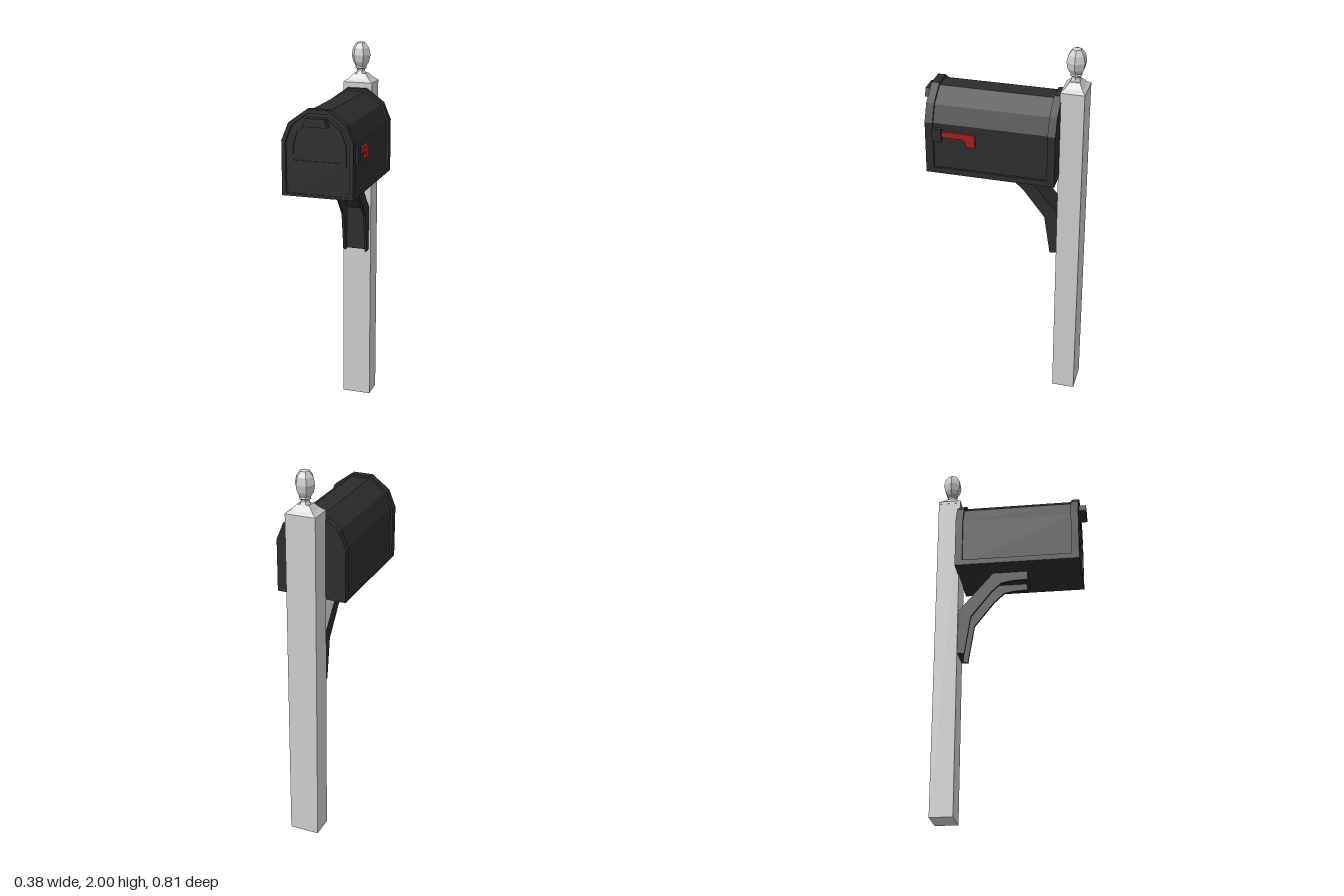
import * as THREE from 'three';

const CX = -0.006; // shared centre line of post and box
const POST_Z = -0.345;

export function createModel() {
  const mat = (name, color) => {
    const m = new THREE.MeshStandardMaterial({ color, flatShading: true });
    m.name = name;
    return m;
  };
  const black = mat('black metal', 0x2c2c2c);
  const grey = mat('pale grey post', 0xcdcdcd);
  const red = mat('flag red', 0x9e2020);

  const model = new THREE.Group();
  model.name = 'mailbox';

  const add = (name, geometry, material, x = 0, y = 0, z = 0) => {
    const mesh = new THREE.Mesh(geometry, material);
    mesh.name = name;
    mesh.position.set(x, y, z);
    model.add(mesh);
    return mesh;
  };
  const box = (name, material, w, h, d, x, y, z) =>
    add(name, new THREE.BoxGeometry(w, h, d), material, x, y, z);
  const toShape = (pts) => new THREE.Shape(pts.map(([a, b]) => new THREE.Vector2(a, b)));
  const extrude = (pts, depth, hole) => {
    const s = toShape(pts);
    if (hole) s.holes.push(toShape(hole));
    return new THREE.ExtrudeGeometry(s, { depth, bevelEnabled: false });
  };
  // Outline given as [z, y], extruded sideways from x0 to x1
  const sideExtrude = (name, pts, x0, x1, material) =>
    add(name, extrude(pts, x1 - x0).rotateY(-Math.PI / 2), material, x1);
  // Arched box outline, moved inwards by i, starting at height bottom
  const arch = (i, bottom) => {
    const half = [
      [0.183 - i, bottom],
      [0.183 - i, 1.603 - 0.3 * i],
      [0.146 - 0.75 * i, 1.693 - 0.7 * i],
      [0.052 - 0.25 * i, 1.762 - i],
    ];
    return [...half, ...half.map(([x, y]) => [-x, y]).reverse()];
  };
  const slab = (name, pts, z0, z1, hole) =>
    add(name, extrude(pts, z1 - z0, hole), black, CX, 0, z0);

  // Post and its square cap
  box('post', grey, 0.156, 1.783, 0.12, CX, 0.8915, POST_Z);
  const capStep = (y0, y1, bottom, top) => {
    const g = new THREE.CylinderGeometry(top * Math.SQRT2, bottom * Math.SQRT2, y1 - y0, 4)
      .rotateY(Math.PI / 4).scale(1, 1, 0.77);
    add('postCap', g, grey, CX, (y0 + y1) / 2, POST_Z);
  };
  capStep(1.775, 1.79, 0.079, 0.079);
  capStep(1.79, 1.805, 0.079, 0.058);
  capStep(1.805, 1.832, 0.058, 0.032);

  // Six-sided finial
  const finial = [
    [0.032, 1.828], [0.023, 1.842], [0.023, 1.854], [0.032, 1.861], [0.029, 1.87],
    [0.044, 1.893], [0.052, 1.93], [0.044, 1.966], [0.024, 1.992], [0, 2],
  ].map(([x, y]) => new THREE.Vector2(x, y));
  add('finial', new THREE.LatheGeometry(finial, 6).rotateY(Math.PI / 6), grey, CX, 0, POST_Z);

  // Mailbox body, bottom skirt and end rims
  slab('boxBody', arch(0.012, 1.33), -0.28, 0.355);
  box('boxSkirt', black, 0.366, 0.03, 0.65, CX, 1.343, 0.04);
  slab('frontRim', arch(0, 1.328), 0.33, 0.37, arch(0.02, 1.342));
  slab('backRim', arch(0, 1.328), -0.289, -0.25);

  // Door: lower panel and an arched frame around a sunken panel
  slab('door', arch(0.022, 1.344), 0.354, 0.361);
  slab('doorLowerPanel', [[-0.145, 1.345], [0.145, 1.345], [0.145, 1.487], [-0.145, 1.487]], 0.36, 0.366);
  slab('doorFrame', arch(0.037, 1.487), 0.36, 0.367, arch(0.06, 1.508));

  // Door handle
  slab('doorHandle', [[-0.063, 1.683], [0.063, 1.683], [0.047, 1.725], [-0.047, 1.725]], 0.358, 0.405);

  // Flag and its mount on the left side
  box('flagMount', black, 0.027, 0.069, 0.047, 0.1745, 1.5425, 0.308);
  sideExtrude('flag', [
    [0.29, 1.53], [0.29, 1.56], [0.115, 1.56], [0.115, 1.492],
    [0.158, 1.492], [0.164, 1.515], [0.175, 1.53],
  ], 0.164, 0.178, red);

  // Support bracket: two side plates, a web along the upper edge and a front lip
  const plate = [
    [0.085, 1.33], [0.085, 1.281], [0, 1.278], [-0.058, 1.267], [-0.11, 1.218],
    [-0.217, 1.08], [-0.249, 0.868], [-0.286, 0.873], [-0.286, 1.113], [-0.1, 1.33],
  ];
  const web = [
    [0.08, 1.33], [0.08, 1.316], [-0.092, 1.316], [-0.272, 1.106], [-0.272, 0.873],
    [-0.286, 0.873], [-0.286, 1.113], [-0.1, 1.33],
  ];
  for (const s of [-1, 1]) {
    const x = CX + s * 0.061;
    sideExtrude('bracketSide', plate, x - 0.0065, x + 0.0065, black);
  }
  sideExtrude('bracketWeb', web, CX - 0.06, CX + 0.06, black);
  box('bracketLip', black, 0.122, 0.048, 0.014, CX, 1.305, 0.078);

  return model;
}
